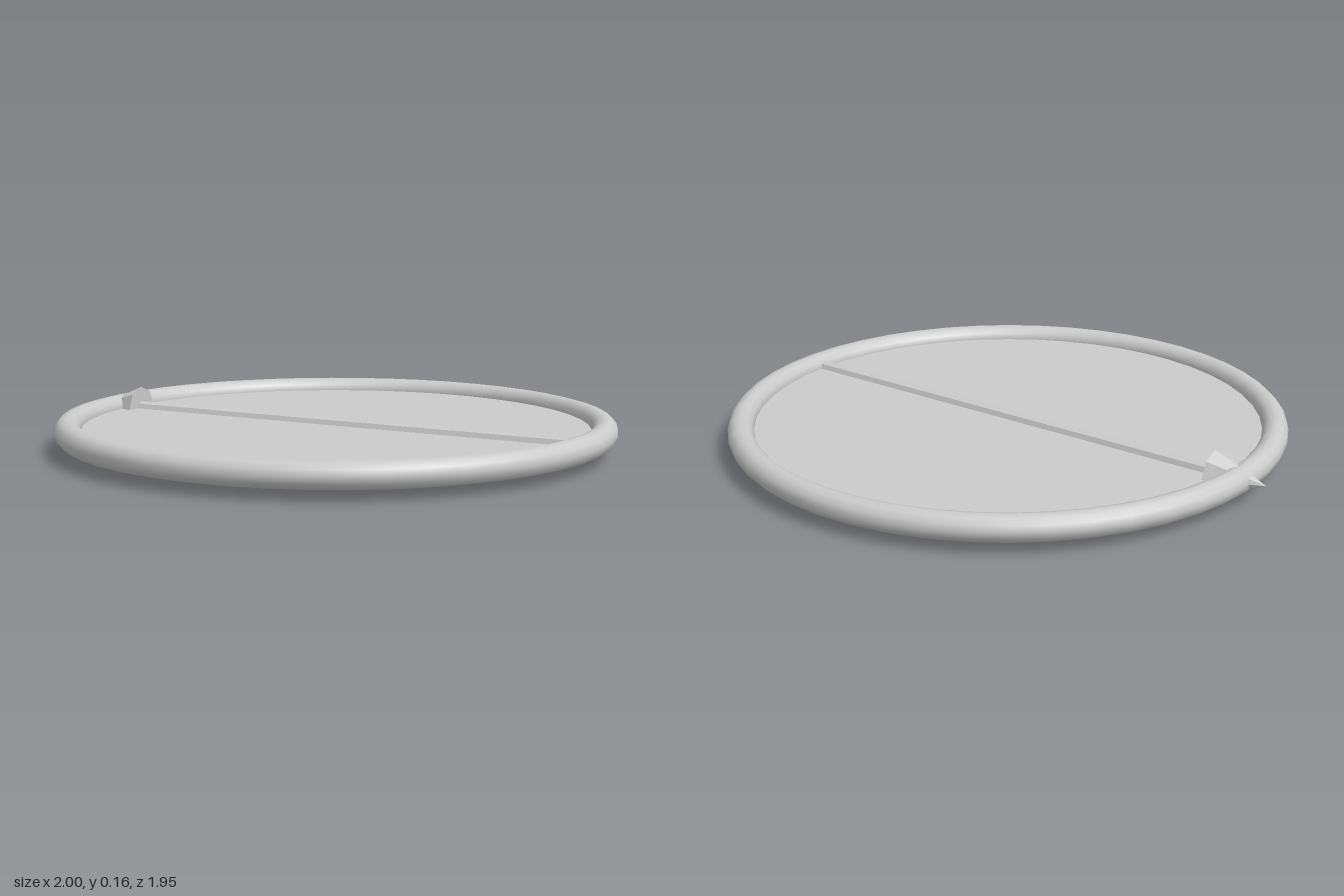
import * as THREE from 'three';

const MID_Y = 0.078;   // height of the disc plane
const RING_X = 0.025;  // ring centre
const RING_R = 0.93;

export function createModel() {
  const group = new THREE.Group();
  const smooth = new THREE.MeshStandardMaterial({ color: 0xcccccc });
  const faceted = new THREE.MeshStandardMaterial({ color: 0xcccccc, flatShading: true });
  const sheet = new THREE.MeshStandardMaterial({ color: 0xcccccc, side: THREE.DoubleSide });

  const add = (name, geometry, material, x) => {
    const mesh = new THREE.Mesh(geometry, material);
    mesh.name = name;
    mesh.position.set(x, MID_Y, 0);
    group.add(mesh);
  };

  // Round rim
  add('rim', new THREE.TorusGeometry(RING_R, 0.045, 12, 48).rotateX(-Math.PI / 2), smooth, RING_X);

  // Thin sheet filling the rim
  add('disc', new THREE.CircleGeometry(RING_R, 48).rotateX(-Math.PI / 2), sheet, RING_X);

  // Pointer rod across the diameter, ending inside the rim
  const rodStart = -0.88, rodEnd = 0.94;
  add('pointerRod',
    new THREE.CylinderGeometry(0.024, 0.024, rodEnd - rodStart, 8).rotateZ(Math.PI / 2),
    faceted, (rodStart + rodEnd) / 2);

  // Arrowhead piercing the rim, tip toward -x
  add('arrowhead', new THREE.ConeGeometry(0.078, 0.19, 8).rotateZ(Math.PI / 2), faceted, -0.905);

  return group;
}
